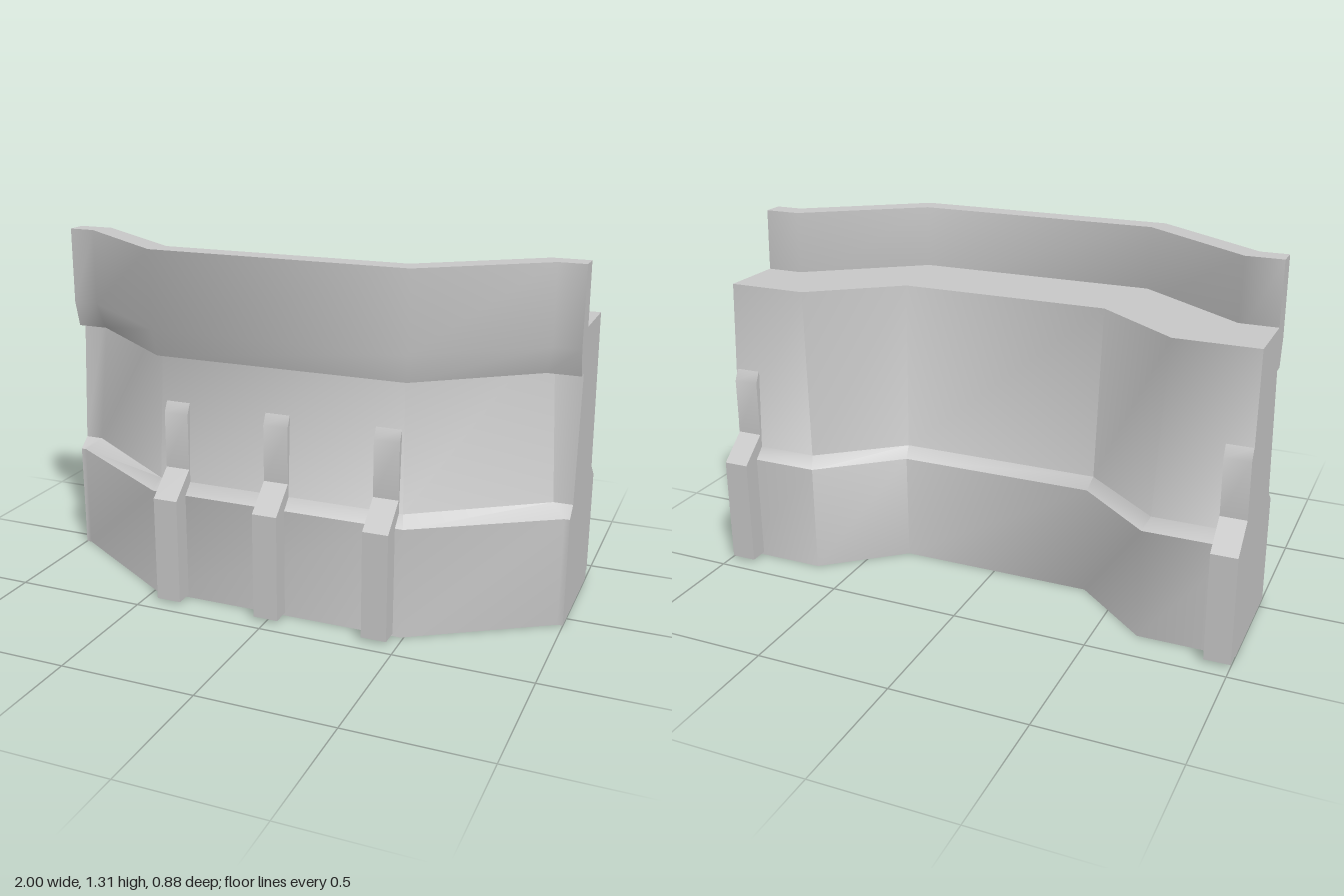
import * as THREE from 'three';
import { toCreasedNormals } from 'three/addons/utils/BufferGeometryUtils.js';

const material = new THREE.MeshStandardMaterial({ color: 0xcccccc });

// Half of a plan edge: end z, outer kink x, inner kink x, middle z -> six mirrored points
function edge([zEnd, xOuter, xInner, zMid]) {
  const half = [[1, zEnd], [xOuter, zEnd], [xInner, zMid]];
  return [...half.map(([x, z]) => [-x, z]), ...half.reverse()];
}

// Loft a bent wall through levels of { y, front, back } from bottom to top
function bentWall(name, levels) {
  const pos = [], index = [], N = 12;
  for (const { y, front, back } of levels) {
    for (const [x, z] of [...edge(front), ...edge(back).reverse()]) pos.push(x, y, z);
  }
  const quad = (a, b, c, d) => index.push(a, b, c, a, c, d);
  for (let l = 0; l < levels.length - 1; l++) {
    for (let i = 0; i < N; i++) {
      const j = (i + 1) % N, o = l * N;
      quad(o + i, o + j, o + N + j, o + N + i);
    }
  }
  // Bottom and top caps, as strips between the front and back edges
  const t = (levels.length - 1) * N;
  for (let i = 0; i < 5; i++) {
    quad(t + i, t + i + 1, t + 10 - i, t + 11 - i);
    quad(i, 11 - i, 10 - i, i + 1);
  }
  const geo = new THREE.BufferGeometry();
  geo.setAttribute('position', new THREE.Float32BufferAttribute(pos, 3));
  geo.setIndex(index);
  const mesh = new THREE.Mesh(toCreasedNormals(geo, 0.75), material);
  mesh.name = name;
  return mesh;
}

// Cranked upright strap: side outline (z, y) extruded across its width
function brace(name, x, facing) {
  const width = 0.094;
  const outline = [[0.27, 0.01], [0.44, 0.01], [0.44, 0.41], [0.335, 0.5],
    [0.335, 0.71], [0.315, 0.75], [0.27, 0.75]];
  const shape = new THREE.Shape(outline.map(([z, y]) => new THREE.Vector2(z, y)));
  const geo = new THREE.ExtrudeGeometry(shape, { depth: width, bevelEnabled: false });
  geo.translate(0, 0, -width / 2);
  geo.rotateY(-Math.PI / 2 * facing);
  const mesh = new THREE.Mesh(toCreasedNormals(geo, 0.75), material);
  mesh.position.x = x;
  mesh.name = name;
  return mesh;
}

export function createModel() {
  const group = new THREE.Group();
  group.name = 'barricade';

  // Wide plinth, chamfered shoulder and tapering wall
  group.add(bentWall('wall', [
    { y: 0, front: [0.06, 0.98, 0.49, 0.37], back: [-0.37, 0.65, 0.37, -0.135] },
    { y: 0.41, front: [0.06, 0.98, 0.49, 0.37], back: [-0.37, 0.65, 0.37, -0.135] },
    { y: 0.45, front: [0.015, 0.93, 0.475, 0.33], back: [-0.33, 0.67, 0.38, -0.095] },
    { y: 1.08, front: [-0.03, 0.89, 0.46, 0.295], back: [-0.29, 0.7, 0.39, -0.055] },
  ]));

  // Raised parapet along the front edge
  group.add(bentWall('parapet', [
    { y: 0.92, front: [0.02, 0.88, 0.475, 0.325], back: [-0.02, 0.87, 0.455, 0.275] },
    { y: 1.02, front: [0.045, 0.9, 0.485, 0.345], back: [-0.045, 0.86, 0.45, 0.255] },
    { y: 1.31, front: [0.045, 0.9, 0.485, 0.345], back: [-0.033, 0.865, 0.455, 0.263] },
  ]));

  // Three braces on the front, one at each end of the back
  for (const x of [-0.4, -0.003, 0.413]) group.add(brace('frontBrace', x, 1));
  for (const x of [-0.953, 0.945]) group.add(brace('backBrace', x, -1));
  return group;
}
